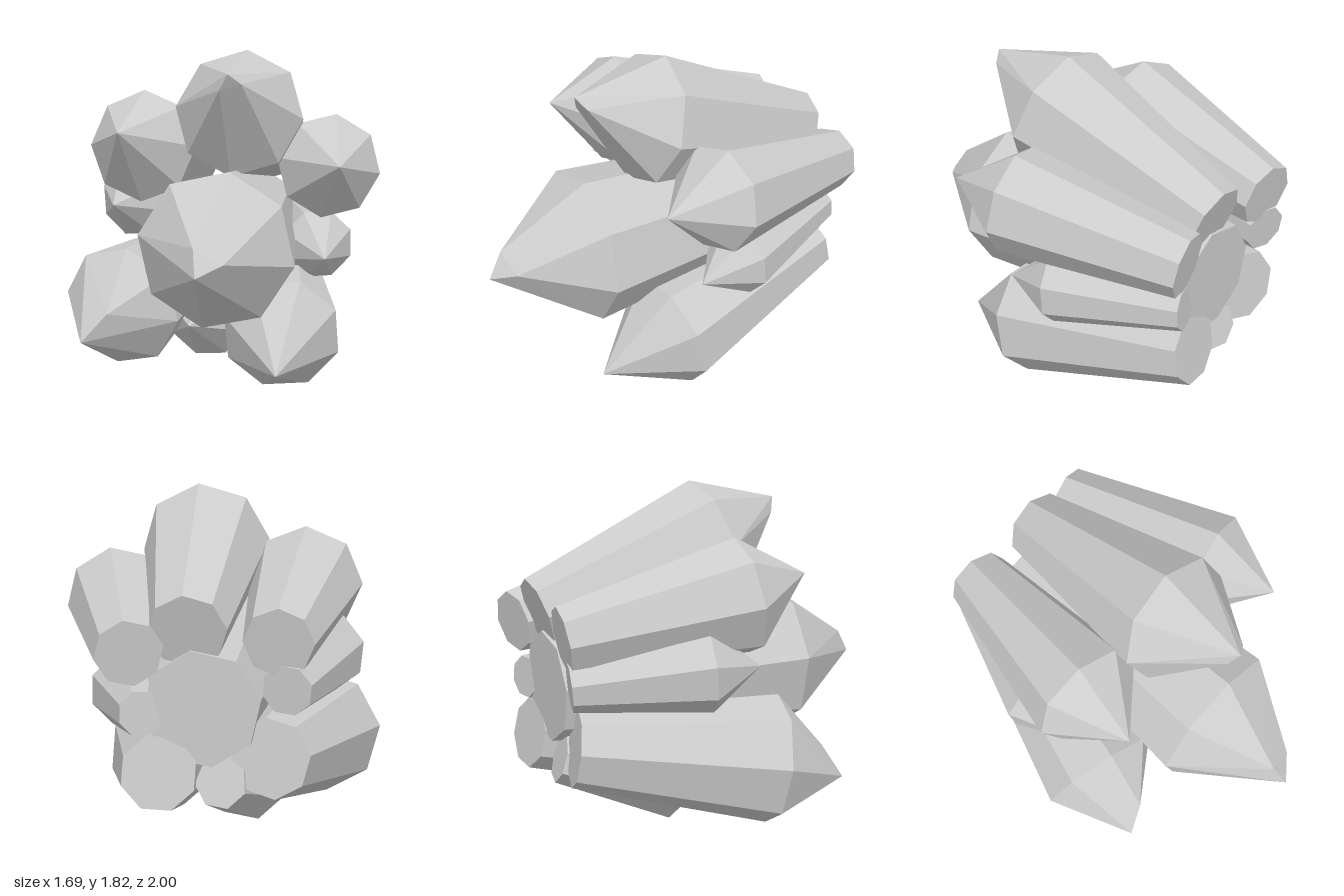
import * as THREE from 'three';
import { ConvexGeometry } from 'three/addons/geometries/ConvexGeometry.js';

const V = (p) => new THREE.Vector3(...p);

// base and shoulder: centre + radius of each ring; tips: points closing the front;
// phase: angle in degrees of the first corner, seen from the front
const CRYSTALS = [
  { name: 'centreCrystal', base: [-0.02, 0.82, -0.87], rBase: 0.29, shoulder: [0.08, 0.82, 0.48], r: 0.41,
    tips: [[0.11, 0.78, 1], [0.22, 0.83, 0.89], [0.08, 0.91, 0.92]], sides: 8, phase: 80 },
  { name: 'topCrystal', base: [0.04, 1.2, -0.89], rBase: 0.19, shoulder: [0.115, 1.495, 0.1], r: 0.345,
    tips: [[0.15, 1.71, 0.51], [0.1, 1.63, 0.48], [0.21, 1.66, 0.47]], sides: 8, phase: 86 },
  { name: 'upperLeftCrystal', base: [0.31, 1.1, -0.95], rBase: 0.165, shoulder: [0.575, 1.21, -0.05], r: 0.28,
    tips: [[0.68, 1.24, 0.28]], sides: 8, phase: 83 },
  { name: 'upperRightCrystal', base: [-0.39, 1.16, -0.89], rBase: 0.17, shoulder: [-0.435, 1.305, 0.05], r: 0.305,
    tips: [[-0.465, 1.4, 0.39]], sides: 8, phase: 90 },
  { name: 'smallRightCrystal', base: [-0.43, 0.93, -0.87], rBase: 0.125, shoulder: [-0.555, 0.98, -0.19], r: 0.22,
    tips: [[-0.6, 0.975, 0.08]], sides: 8, phase: 118 },
  { name: 'lowerRightCrystal', base: [-0.35, 0.58, -0.83], rBase: 0.2, shoulder: [-0.52, 0.435, 0.19], r: 0.34,
    tips: [[-0.625, 0.315, 0.56], [-0.5, 0.46, 0.5]], sides: 8, phase: 82 },
  { name: 'smallBottomCrystal', base: [-0.11, 0.45, -0.84], rBase: 0.13, shoulder: [-0.16, 0.255, -0.21], r: 0.215,
    tips: [[-0.17, 0.315, 0.08]], sides: 7, phase: 98 },
  { name: 'lowerLeftCrystal', base: [0.18, 0.51, -0.92], rBase: 0.19, shoulder: [0.35, 0.305, 0.09], r: 0.325,
    tips: [[0.4, 0.19, 0.51]], sides: 8, phase: 70 },
  { name: 'smallLeftCrystal', base: [0.26, 0.8, -0.91], rBase: 0.115, shoulder: [0.49, 0.745, -0.25], r: 0.2,
    tips: [[0.57, 0.71, 0.01]], sides: 8, phase: 68 },
];

// Regular ring of corners, square to the crystal's axis
function ring(centre, radius, axis, sides, phase) {
  const v = new THREE.Vector3().crossVectors(axis, new THREE.Vector3(1, 0, 0)).normalize();
  const u = new THREE.Vector3().crossVectors(v, axis).normalize();
  return Array.from({ length: sides }, (_, i) => {
    const a = THREE.MathUtils.degToRad(phase) + (i / sides) * Math.PI * 2;
    return centre.clone()
      .addScaledVector(u, Math.cos(a) * radius)
      .addScaledVector(v, Math.sin(a) * radius);
  });
}

// Faceted crystal: narrow back, wide shoulder, pointed front
function crystal({ name, base, rBase, shoulder, r, tips, sides, phase }, material) {
  const b = V(base), s = V(shoulder);
  const axis = s.clone().sub(b).normalize();
  const points = [
    ...ring(b, rBase, axis, sides, phase),
    ...ring(s, r, axis, sides, phase),
    ...tips.map(V),
  ];
  const mesh = new THREE.Mesh(new ConvexGeometry(points), material);
  mesh.name = name;
  return mesh;
}

export function createModel() {
  const group = new THREE.Group();
  group.name = 'crystalCluster';
  const material = new THREE.MeshStandardMaterial({ color: 0xcccccc, flatShading: true });
  for (const c of CRYSTALS) group.add(crystal(c, material));
  return group;
}
